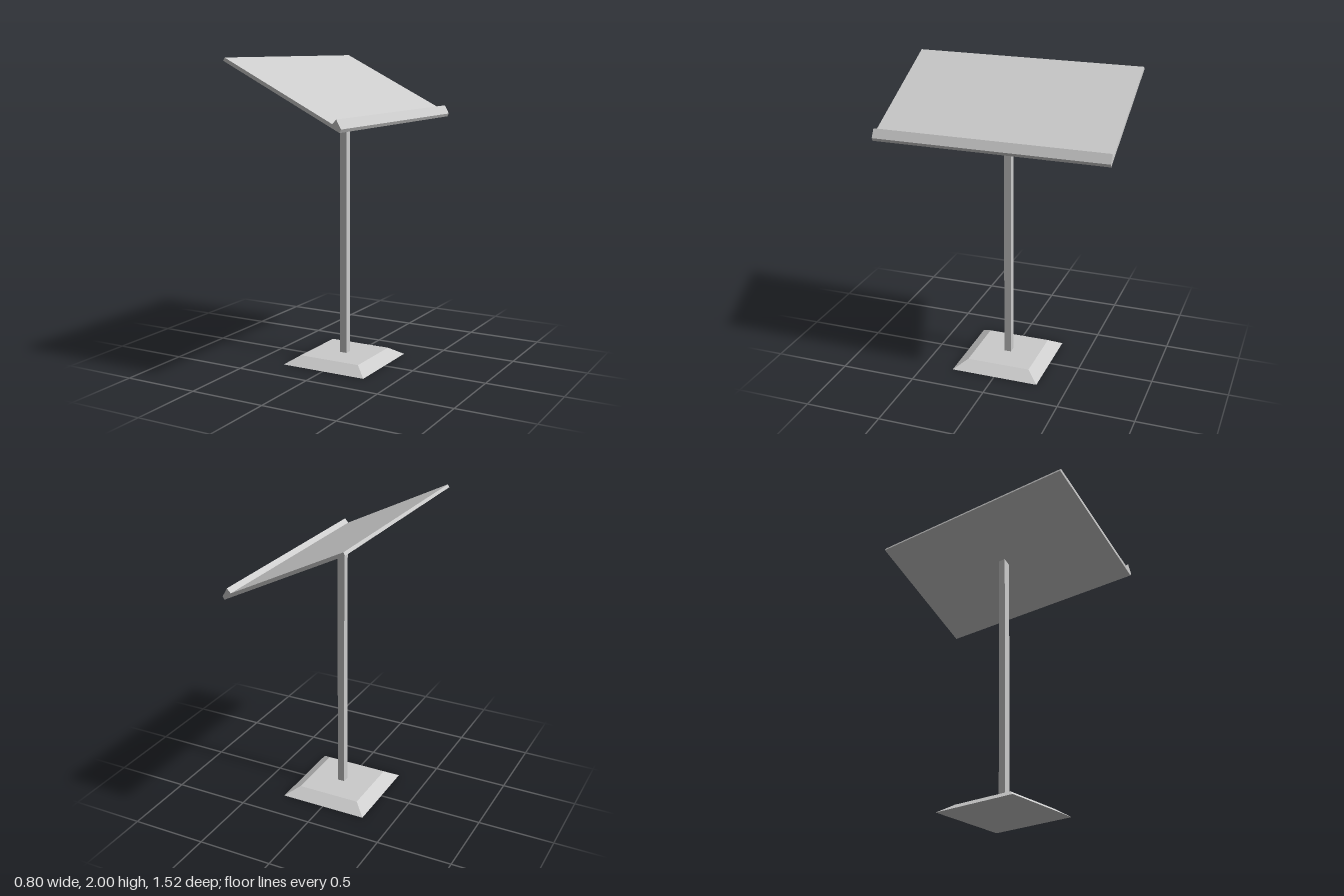
import * as THREE from 'three';

const material = new THREE.MeshStandardMaterial({ color: 0xcccccc, flatShading: true });

const DESK_LENGTH = 1.52;
const SLOPE = -0.5;

function part(name, geometry) {
  const mesh = new THREE.Mesh(geometry, material);
  mesh.name = name;
  return mesh;
}

// Extrudes an x/y profile along z, centred on z = 0
function extrudeProfile(points, length) {
  const shape = new THREE.Shape(points.map(([x, y]) => new THREE.Vector2(x, y)));
  const geometry = new THREE.ExtrudeGeometry(shape, { depth: length, bevelEnabled: false });
  return geometry.translate(0, 0, -length / 2);
}

export function createModel() {
  const group = new THREE.Group();
  group.name = 'lectern';

  // Base: square block with sloping sides
  const baseHeight = 0.053;
  const base = new THREE.CylinderGeometry(0.214 * Math.SQRT2, 0.296 * Math.SQRT2, baseHeight, 4);
  base.rotateY(Math.PI / 4).translate(0, baseHeight / 2, 0);
  group.add(part('base', base));

  // Post: square bar, its top cut to the slope of the desk
  const postTop = 1.786;
  const post = new THREE.BoxGeometry(0.048, postTop - baseHeight, 0.048);
  post.translate(0, (postTop + baseHeight) / 2, 0);
  const position = post.attributes.position;
  for (let i = 0; i < position.count; i++) {
    if (position.getY(i) > 1) position.setY(i, postTop + SLOPE * position.getX(i));
  }
  group.add(part('post', post));

  // Desk: thin tilted slab
  group.add(part('deskTop', extrudeProfile(
    [[-0.4, 1.981], [0.387, 1.587], [0.397, 1.607], [-0.39, 2.0]], DESK_LENGTH)));

  // Ledge: triangular strip that stops books sliding off the low edge
  group.add(part('bookLedge', extrudeProfile(
    [[0.34, 1.635], [0.397, 1.607], [0.366, 1.662]], DESK_LENGTH)));

  return group;
}
